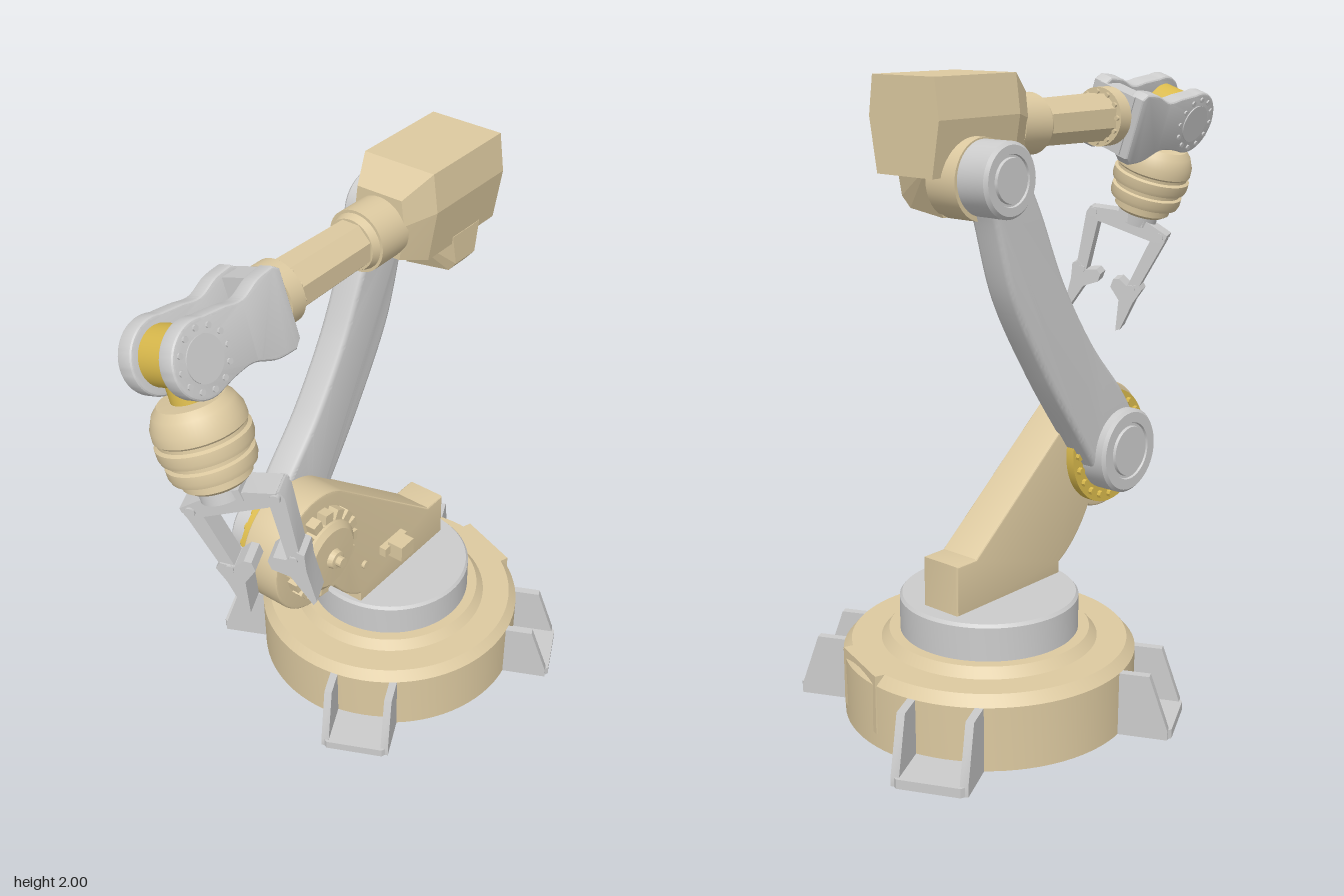
import * as THREE from 'three';
import { toCreasedNormals } from 'three/addons/utils/BufferGeometryUtils.js';
import { ConvexGeometry } from 'three/addons/geometries/ConvexGeometry.js';

const grey = new THREE.MeshStandardMaterial({ color: 0xcccccc });
const tan = new THREE.MeshStandardMaterial({ color: 0xdcc9a0 });
const yellow = new THREE.MeshStandardMaterial({ color: 0xd9b94c });
const V2 = (a) => a.map(([x, y]) => new THREE.Vector2(x, y));

function add(parent, name, geo, mat, crease = 0.5) {
  const mesh = new THREE.Mesh(toCreasedNormals(geo, crease), mat);
  mesh.name = name;
  parent.add(mesh);
  return mesh;
}
function group(parent, name, x, y, z) {
  const g = new THREE.Group();
  g.name = name;
  g.position.set(x, y, z);
  parent.add(g);
  return g;
}
const box = (w, h, d, x, y, z) => new THREE.BoxGeometry(w, h, d).translate(x, y, z);
const lathe = (pts, n = 64) => new THREE.LatheGeometry(V2(pts), n);
// Cylinder lying along x between x0 and x1
const cylX = (r, x0, x1, y, z, n = 40) =>
  new THREE.CylinderGeometry(r, r, x1 - x0, n).rotateZ(Math.PI / 2).translate((x0 + x1) / 2, y, z);
// Cylinder lying along z between z0 and z1
const cylZ = (r0, r1, z0, z1, x, y, n = 40) =>
  new THREE.CylinderGeometry(r1, r0, z1 - z0, n).rotateX(Math.PI / 2).translate(x, y, (z0 + z1) / 2);
// Extrude an outline drawn in (z, y) sideways from x0 to x1
function side(shape, x0, x1, bevel = 0) {
  return new THREE.ExtrudeGeometry(shape, {
    depth: x1 - x0 - 2 * bevel, bevelEnabled: bevel > 0, bevelThickness: bevel,
    bevelSize: bevel, bevelOffset: -bevel, bevelSegments: 3, curveSegments: 24,
  }).rotateY(-Math.PI / 2).translate(x1 - bevel, 0, 0);
}
// Extrude an outline drawn in (x, y), centred in depth
const slab = (pts, depth) => new THREE.ExtrudeGeometry(new THREE.Shape(V2(pts)),
  { depth, bevelEnabled: false }).translate(0, 0, -depth / 2);

function buildBase(root) {
  const base = group(root, 'base', 0, 0, -0.263);
  add(base, 'baseDrum', lathe([[0, 0], [0.465, 0], [0.467, 0.205], [0.44, 0.237], [0.345, 0.237],
    [0.32, 0.267], [0, 0.267]], 80), tan);
  add(base, 'turntable', lathe([[0.285, 0.26], [0.285, 0.375], [0.277, 0.385], [0, 0.385]]), grey);
  const hatch = add(base, 'hatch', box(0.24, 0.19, 0.09, 0, 0.142, 0.41), tan);
  hatch.rotation.y = Math.PI * 0.75;
  // Four feet, each a sole with two sloped fins
  const fin = new THREE.Shape(V2([[0.42, 0], [0.605, 0], [0.605, 0.03], [0.545, 0.205], [0.42, 0.205]]));
  for (let i = 0; i < 4; i++) {
    const foot = group(base, 'foot', 0, 0, 0);
    foot.rotation.y = i * Math.PI / 2;
    for (const s of [-1, 1]) add(foot, 'footFin', side(fin, s * 0.105 - 0.013, s * 0.105 + 0.013), grey);
    add(foot, 'footSole', slab([[-0.118, -0.43], [-0.118, -0.595], [-0.098, -0.615], [0.098, -0.615],
      [0.118, -0.595], [0.118, -0.43]].reverse(), 0.03).rotateX(-Math.PI / 2).translate(0, 0.015, 0), grey);
  }
}

function buildShoulder(arm) {
  const cy = 0.775, cz = 0.48, rad = Math.PI / 180;
  const s = new THREE.Shape();
  s.moveTo(-0.227, 0.38);
  s.lineTo(0.26, 0.38);
  s.lineTo(0.26, 0.42);
  s.quadraticCurveTo(0.35, 0.47, 0.41, 0.578);
  s.absarc(cz, cy, 0.212, -107 * rad, 128 * rad, false);
  s.lineTo(-0.14, 0.545);
  s.lineTo(-0.227, 0.545);
  add(arm, 'shoulderBracket', side(s, -0.076, 0.068, 0.008), tan);
  // Toothed cover on the outer face
  const gear = [], n = 16;
  for (let i = 0; i < n; i++) {
    for (const [f, r] of [[0, 0.16], [0.6, 0.16], [0.68, 0.125], [0.92, 0.125]]) {
      const a = (i + f) / n * Math.PI * 2;
      gear.push([cz + r * Math.cos(a), cy + r * Math.sin(a)]);
    }
  }
  add(arm, 'shoulderGear', side(new THREE.Shape(V2(gear)), 0.06, 0.105), tan);
  add(arm, 'shoulderCover', lathe([[0.125, 0.06], [0.125, 0.115], [0.105, 0.13], [0.035, 0.132],
    [0.03, 0.15], [0.018, 0.152], [0.018, 0.172], [0, 0.172]], 40)
    .rotateZ(-Math.PI / 2).translate(0, cy, cz), tan);
  add(arm, 'shoulderRing', cylX(0.19, -0.105, -0.07, cy, cz, 48), yellow);
  for (let i = 0; i < 20; i++) {
    const a = i / 20 * Math.PI * 2;
    add(arm, 'ringTooth', cylX(0.013, -0.118, -0.1, cy + 0.165 * Math.sin(a), cz + 0.165 * Math.cos(a), 8), yellow);
  }
  // Side latch
  add(arm, 'latch', box(0.06, 0.06, 0.07, 0.115, 0.545, 0.09), tan);
  add(arm, 'latchBar', box(0.03, 0.035, 0.125, 0.08, 0.545, 0.09), tan);
  add(arm, 'latchPin', cylX(0.015, 0.06, 0.08, 0.545, 0.24, 16), tan);
}

function buildUpperArm(arm) {
  const s = new THREE.Shape();
  s.moveTo(0.37, 0.70);
  s.lineTo(0.56, 0.86);
  s.splineThru(V2([[0.47, 0.987], [0.32, 1.157], [0.18, 1.37], [0.07, 1.6], [-0.01, 1.74]]));
  s.lineTo(-0.2, 1.74);
  s.splineThru(V2([[-0.14, 1.6], [-0.055, 1.34], [0.1, 1.077], [0.27, 0.838], [0.37, 0.70]]));
  add(arm, 'upperArm', side(s, -0.16, -0.055, 0.018), grey, 0.7);
  const hub = (name, r, y, z) => add(arm, name, lathe([[r, 0.075], [r, 0.185], [r - 0.01, 0.195],
    [r * 0.68, 0.195], [r * 0.66, 0.188], [r * 0.6, 0.188], [r * 0.58, 0.197], [0, 0.197]], 48)
    .rotateZ(Math.PI / 2).translate(0, y, z), grey);
  hub('lowerHub', 0.14, 0.775, 0.475);
  hub('upperHub', 0.112, 1.71, -0.11);
}

function buildForearm(arm) {
  const ax = 0.082, ay = 1.832, pts = [];
  // Elbow housing: full section at the back, narrowing to the collar
  const ring = (z, rows) => rows.forEach(([h, y]) => [-1, 1].forEach((m) => pts.push(new THREE.Vector3(ax + m * h, y, z))));
  const full = [[0.125, 2.0], [0.141, 1.88], [0.112, 1.715]];
  ring(-0.265, full);
  ring(0.08, full);
  ring(0.175, [[0.08, 1.94], [0.09, 1.86], [0.075, 1.745]]);
  add(arm, 'elbowHousing', new ConvexGeometry(pts), tan, 0.1);
  add(arm, 'elbowLug', cylX(0.122, -0.085, 0.03, 1.705, -0.11), tan);
  const lug = [];
  for (const [x, y, h] of [[0.02, 1.59, 0.06], [0.02, 1.74, 0.13], [0.17, 1.605, 0.045], [0.2, 1.64, 0.05], [0.2, 1.74, 0.07]])
    for (const m of [-1, 1]) lug.push(new THREE.Vector3(x, y, -0.11 + m * h));
  add(arm, 'elbowLugBody', new ConvexGeometry(lug), tan, 0.1);
  // Collars and faceted beam
  add(arm, 'rearCollar', cylZ(0.097, 0.097, 0.16, 0.285, ax, ay), tan);
  add(arm, 'rearCollarLip', cylZ(0.088, 0.08, 0.285, 0.31, ax, ay), tan);
  add(arm, 'forearmBeam', cylZ(0.077, 0.083, 0.3, 0.65, ax, ay, 8).translate(-ax, -ay, 0)
    .rotateZ(Math.PI / 8).translate(ax, ay, 0), tan, 0.1);
  add(arm, 'frontCollar', cylZ(0.097, 0.097, 0.63, 0.685, ax, ay), tan);
  for (let i = 0; i < 12; i++) {
    const a = i / 12 * Math.PI * 2;
    add(arm, 'collarBolt', cylZ(0.008, 0.008, 0.62, 0.64, ax + 0.083 * Math.cos(a), ay + 0.083 * Math.sin(a), 8), tan);
  }
}

function buildWrist(arm) {
  // The whole wrist is rolled about the forearm axis
  const wrist = group(arm, 'wrist', 0.075, 1.825, 0);
  wrist.rotation.z = 0.32;
  const pz = 1.03, a = 110 * Math.PI / 180;
  const s = new THREE.Shape();
  s.moveTo(0.69, -0.105);
  s.lineTo(0.715, -0.128);
  s.splineThru(V2([[0.79, -0.122], [0.87, -0.092], [0.93, -0.092], [0.992, -0.103]]));
  s.absarc(pz, 0, 0.11, -a, a, false);
  s.splineThru(V2([[0.92, 0.095], [0.85, 0.085], [0.78, 0.11], [0.715, 0.118]]));
  s.lineTo(0.69, 0.1);
  for (const m of [-1, 1]) {
    add(wrist, 'forkPlate', side(s, m * 0.08 - 0.028, m * 0.08 + 0.028, 0.01), grey);
    add(wrist, 'forkCap', cylX(0.065, m * 0.106 - 0.006, m * 0.106 + 0.006, 0, pz), grey);
    for (let i = 0; i < 12; i++) {
      const t = i / 12 * Math.PI * 2;
      add(wrist, 'forkBolt', cylX(0.009, m * 0.108 - 0.006, m * 0.108 + 0.006, 0.086 * Math.sin(t), pz + 0.086 * Math.cos(t), 8), grey);
    }
  }
  add(wrist, 'forkRoot', box(0.15, 0.2, 0.075, 0, 0, 0.722), grey);
  add(wrist, 'pivotCore', cylX(0.085, -0.055, 0.055, 0, pz), yellow);
  add(wrist, 'pivotStem', new THREE.CylinderGeometry(0.055, 0.055, 0.15, 32).translate(0, -0.075, pz), yellow);
  add(wrist, 'wristDrum', lathe([[0, -0.372], [0.085, -0.372], [0.1, -0.36], [0.1, -0.335], [0.122, -0.33],
    [0.127, -0.315], [0.127, -0.29], [0.117, -0.285], [0.117, -0.272], [0.132, -0.268], [0.136, -0.255],
    [0.136, -0.228], [0.126, -0.222], [0.126, -0.212], [0.133, -0.205], [0.131, -0.175], [0.115, -0.14],
    [0.095, -0.12], [0, -0.115]], 48).translate(0, 0, pz), tan);
  add(wrist, 'wristNeck', new THREE.CylinderGeometry(0.065, 0.065, 0.05, 32).translate(0, -0.39, pz), grey);
}

function buildGripper(root) {
  const grip = group(root, 'gripper', -0.25, 1.47, 0.745);
  grip.rotation.z = 0.335;
  add(grip, 'palm', slab([[-0.145, -0.05], [-0.11, -0.075], [0.11, -0.075], [0.145, -0.05], [0.145, -0.035],
    [0.06, -0.015], [-0.06, -0.015], [-0.145, -0.035]], 0.09), grey);
  add(grip, 'palmMount', box(0.1, 0.04, 0.1, 0, -0.02, 0), grey);
  for (const m of [-1, 1]) {
    const finger = group(grip, 'finger', 0.008, 0, 0);
    if (m < 0) finger.rotation.y = Math.PI;
    // Outer link, hooked jaw and slim tip
    add(finger, 'fingerLink', slab([[0.105, -0.04], [0.145, -0.035], [0.152, -0.06], [0.118, -0.27], [0.08, -0.27]], 0.075), grey);
    add(finger, 'fingerJaw', slab([[0.025, -0.255], [0.045, -0.245], [0.08, -0.26], [0.118, -0.24], [0.136, -0.255],
      [0.122, -0.31], [0.112, -0.42], [0.098, -0.43], [0.07, -0.32], [0.025, -0.285]].reverse(), 0.085), grey);
    add(finger, 'fingerPin', cylZ(0.014, 0.014, -0.048, 0.048, 0.098, -0.265, 16), grey);
    add(finger, 'knucklePin', cylZ(0.016, 0.016, -0.052, 0.052, 0.128, -0.052, 16), grey);
  }
}

export function createModel() {
  const root = new THREE.Group();
  root.name = 'robotArm';
  buildBase(root);
  // Arm assembly turned on the base
  const arm = group(root, 'arm', 0, 0, -0.263);
  arm.rotation.y = -0.445;
  buildShoulder(arm);
  buildUpperArm(arm);
  buildForearm(arm);
  buildWrist(arm);
  buildGripper(root);
  return root;
}
